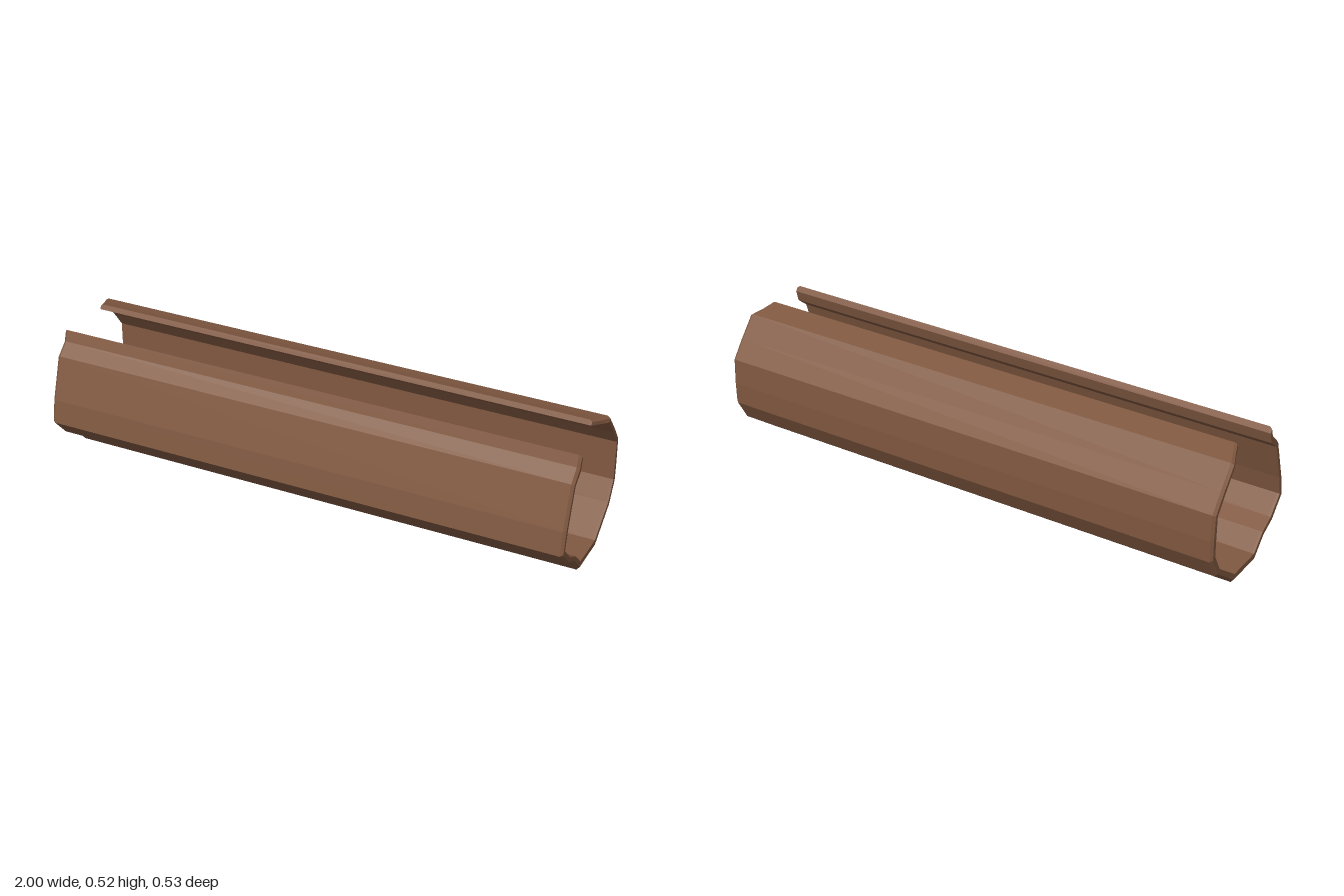
import * as THREE from 'three';

// Wall stations from the front lip, under the floor, up to the back lip:
// outer z, outer y, inner z, inner y
const WALL = [
  [0.14, 0.497, 0.127, 0.478],
  [0.155, 0.457, 0.138, 0.436],
  [0.2, 0.416, 0.183, 0.399],
  [0.25, 0.258, 0.228, 0.255],
  [0.265, 0.17, 0.243, 0.182],
  [0.2, 0.098, 0.182, 0.12],
  [0.135, 0.066, 0.125, 0.09],
  [0.073, 0, 0.066, 0.032],
  [-0.087, 0, -0.08, 0.032],
  [-0.217, 0.098, -0.2, 0.12],
  [-0.262, 0.177, -0.24, 0.192],
  [-0.265, 0.26, -0.24, 0.25],
  [-0.26, 0.357, -0.24, 0.345],
  [-0.21, 0.422, -0.195, 0.405],
  [-0.145, 0.497, -0.135, 0.478],
  [-0.1, 0.507, -0.095, 0.488],
  [-0.055, 0.52, -0.046, 0.503],
];
const LAST = WALL.length - 1;
const BEVEL = 0.35; // share of the wall thickness cut off at the outer end edge

// The back lip is a little shorter, with clipped corners
const trim = (i) => (i === LAST ? 0.965 : i === LAST - 1 ? 0.982 : 1);

// Closed section at x: outer side forwards, inner side backwards
function section(x, bevel) {
  const outer = WALL.map(([oz, oy, iz, iy], i) => new THREE.Vector3(
    x * trim(i), oy + (iy - oy) * bevel, oz + (iz - oz) * bevel));
  const inner = WALL.map(([, , iz, iy], i) => new THREE.Vector3(x * trim(i), iy, iz));
  return [...outer, ...inner.reverse()];
}

function shellGeometry() {
  const pos = [];
  const quad = (a, b, c, d) => {
    for (const p of [a, b, c, a, c, d]) pos.push(p.x, p.y, p.z);
  };
  const rings = [section(-1, BEVEL), section(-0.99, 0), section(0.99, 0), section(1, BEVEL)];
  const n = rings[0].length;

  // Long faces and end bevels
  for (let r = 0; r < rings.length - 1; r++) {
    for (let i = 0; i < n; i++) {
      const j = (i + 1) % n;
      quad(rings[r][i], rings[r][j], rings[r + 1][j], rings[r + 1][i]);
    }
  }

  // End faces between outer and inner side
  const left = rings[3], right = rings[0];
  for (let i = 0; i < LAST; i++) {
    quad(left[i], left[i + 1], left[n - 2 - i], left[n - 1 - i]);
    quad(right[i], right[n - 1 - i], right[n - 2 - i], right[i + 1]);
  }

  const geo = new THREE.BufferGeometry();
  geo.setAttribute('position', new THREE.Float32BufferAttribute(pos, 3));
  geo.computeVertexNormals();
  return geo;
}

export function createModel() {
  const group = new THREE.Group();
  group.name = 'hollowLog';
  const bark = new THREE.MeshStandardMaterial({ color: 0x805840, flatShading: true });
  const shell = new THREE.Mesh(shellGeometry(), bark);
  shell.name = 'logShell';
  group.add(shell);
  return group;
}
